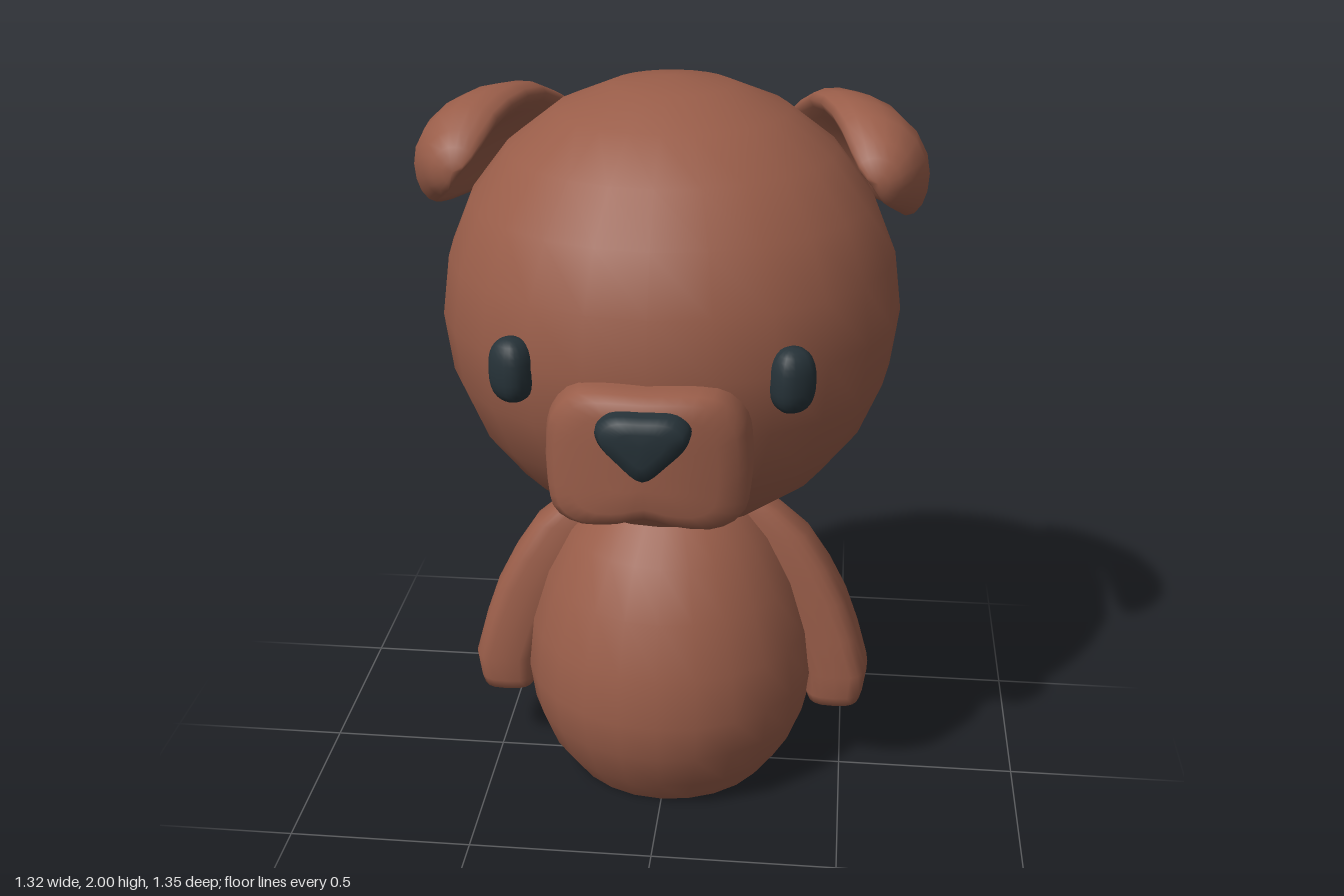
import * as THREE from 'three';

const fur = new THREE.MeshStandardMaterial({ color: 0x995d49 });
const dark = new THREE.MeshStandardMaterial({ color: 0x263238 });
const V = (x, y, z) => new THREE.Vector3(x, y, z);
const CZ = -0.065; // shared axis of head, body and arms

// Closed smooth skin through rings of equal length, both ends capped
function loft(rings) {
  const n = rings[0].length, m = rings.length, idx = [];
  const pts = rings.flat();
  const centre = (r) => r.reduce((s, p) => s.add(p), V(0, 0, 0)).divideScalar(n);
  pts.push(centre(rings[0]), centre(rings[m - 1]));
  for (let j = 0; j < n; j++) {
    const k = (j + 1) % n;
    for (let i = 0; i < m - 1; i++) {
      const a = i * n + j, b = i * n + k;
      idx.push(a, b, a + n, b, b + n, a + n);
    }
    idx.push(m * n, k, j, m * n + 1, (m - 1) * n + j, (m - 1) * n + k);
  }
  const g = new THREE.BufferGeometry().setFromPoints(pts);
  g.setIndex(idx);
  g.computeVertexNormals();
  return g;
}

// Reflects rings to the other side, keeping faces outward
const toSide = (rings, side) => side > 0 ? rings
  : rings.map((r) => r.map((p) => V(-p.x, p.y, p.z)).reverse());

// Rounded-square angle samples: [cos, sin] pushed towards the corners
function squircle(n, power) {
  const f = (v) => Math.sign(v) * Math.abs(v) ** power;
  return Array.from({ length: n }, (_, i) => {
    const a = (i / n) * Math.PI * 2;
    return [f(Math.cos(a)), f(Math.sin(a))];
  });
}

// Rings [z, scale] from half an outline (bottom to top), mirrored in x
function facePad(half, cy, steps, bulge) {
  const other = half.slice(1, -1).reverse().map(([x, y]) => [-x, y]);
  const curve = new THREE.CatmullRomCurve3(
    [...half, ...other].map(([x, y]) => V(x, y, 0)), true, 'centripetal');
  const outline = curve.getPoints(40).slice(0, -1);
  return loft(steps.map(([z, s]) => outline.map((p) =>
    V(p.x * s, cy + (p.y - cy) * s, z - bulge * (p.x * s) ** 2))));
}

function armRings() {
  // y, inner x, outer x, half depth
  const rows = [
    [0.2, 0.42, 0.53, 0.075], [0.21, 0.4, 0.552, 0.095], [0.24, 0.39, 0.56, 0.105],
    [0.31, 0.385, 0.57, 0.107], [0.42, 0.35, 0.54, 0.102], [0.53, 0.3, 0.502, 0.093],
    [0.63, 0.24, 0.452, 0.085], [0.73, 0.17, 0.388, 0.073], [0.8, 0.11, 0.31, 0.06],
    [0.84, 0.07, 0.245, 0.05], [0.865, 0.05, 0.17, 0.04]];
  return rows.map(([y, xi, xo, hw]) => squircle(20, 0.65).map(([c, s]) =>
    V((xi + xo) / 2 + s * (xo - xi) / 2, y, CZ + c * hw)));
}

function earRings() {
  // z, centre x, centre y, half width, half thickness
  const rows = [
    [-0.45, 0.35, 1.73, 0.06, 0.03], [-0.43, 0.36, 1.735, 0.1, 0.05],
    [-0.38, 0.395, 1.755, 0.13, 0.06], [-0.3, 0.445, 1.788, 0.155, 0.064],
    [-0.2, 0.5, 1.815, 0.18, 0.066], [-0.1, 0.535, 1.825, 0.187, 0.066],
    [-0.02, 0.553, 1.828, 0.172, 0.066], [0.05, 0.557, 1.825, 0.145, 0.063],
    [0.12, 0.545, 1.815, 0.095, 0.052], [0.15, 0.537, 1.803, 0.062, 0.038],
    [0.165, 0.53, 1.795, 0.03, 0.02]];
  const d = V(0.61, -0.79, 0), n = V(0.79, 0.61, 0);
  return rows.map(([z, x, y, a, b]) => squircle(20, 0.85).map(([c, s]) =>
    V(x, y, z).addScaledVector(d, a * c)
      .addScaledVector(n, b * s + 0.35 * a * (0.35 - c * c)))); // cupped towards the head
}

export function createModel() {
  const model = new THREE.Group();
  const add = (name, geo, mat = fur) => {
    const mesh = new THREE.Mesh(geo, mat);
    mesh.name = name;
    model.add(mesh);
    return mesh;
  };

  // Head: ball cut flat at the neck
  add('head', new THREE.SphereGeometry(0.607, 24, 10, 0, Math.PI * 2, 0, Math.PI * 5 / 6))
    .position.set(0, 1.393, CZ);
  const neck = add('headUnderside', new THREE.CircleGeometry(0.3035, 24));
  neck.rotation.x = Math.PI / 2;
  neck.position.set(0, 0.867, CZ);

  // Body: egg with a flat base
  const profile = [[0.3, 0], [0.365, 0.09], [0.408, 0.2], [0.423, 0.31], [0.408, 0.45],
    [0.36, 0.6], [0.29, 0.73], [0.21, 0.82], [0.13, 0.866], [0, 0.867]];
  const body = add('body', new THREE.LatheGeometry(
    profile.map(([r, y]) => new THREE.Vector2(r, y)), 24));
  body.position.z = CZ;
  body.scale.x = 0.98;
  const base = add('bodyBase', new THREE.CircleGeometry(0.3, 24));
  base.rotation.x = Math.PI / 2;
  base.position.z = CZ;
  base.scale.x = 0.98;

  // Muzzle with a cleft lower edge, and the nose on it
  add('muzzle', facePad(
    [[0, 1.06], [0.08, 1.04], [0.18, 1.032], [0.235, 1.06], [0.25, 1.12], [0.25, 1.26],
      [0.235, 1.32], [0.18, 1.38], [0.1, 1.393], [0, 1.393]], 1.21,
    [[0.25, 1], [0.45, 1], [0.555, 1], [0.59, 0.965], [0.61, 0.88], [0.62, 0.7], [0.623, 0.35]], 0.8));
  add('nose', facePad(
    [[0, 1.188], [0.06, 1.232], [0.108, 1.285], [0.114, 1.32], [0.08, 1.352], [0, 1.357]], 1.29,
    [[0.56, 0.9], [0.595, 1], [0.645, 0.98], [0.668, 0.85], [0.675, 0.5]], 0.6), dark);

  for (const side of [1, -1]) {
    const label = side > 0 ? 'left' : 'right';
    add(label + 'Arm', loft(toSide(armRings(), side)));
    add(label + 'Ear', loft(toSide(earRings(), side)));

    // Eye: squared-off bead set into the head
    const eye = new THREE.SphereGeometry(1, 20, 14);
    const p = eye.attributes.position;
    const f = (v) => Math.sign(v) * Math.abs(v) ** 0.8;
    for (let i = 0; i < p.count; i++) {
      p.setXYZ(i, f(p.getX(i)) * 0.056, f(p.getY(i)) * 0.083, f(p.getZ(i)) * 0.052);
    }
    eye.computeVertexNormals();
    const mesh = add(label + 'Eye', eye, dark);
    mesh.position.set(side * 0.341, 1.384, 0.443);
    mesh.rotation.y = side * 0.6;
  }
  return model;
}
